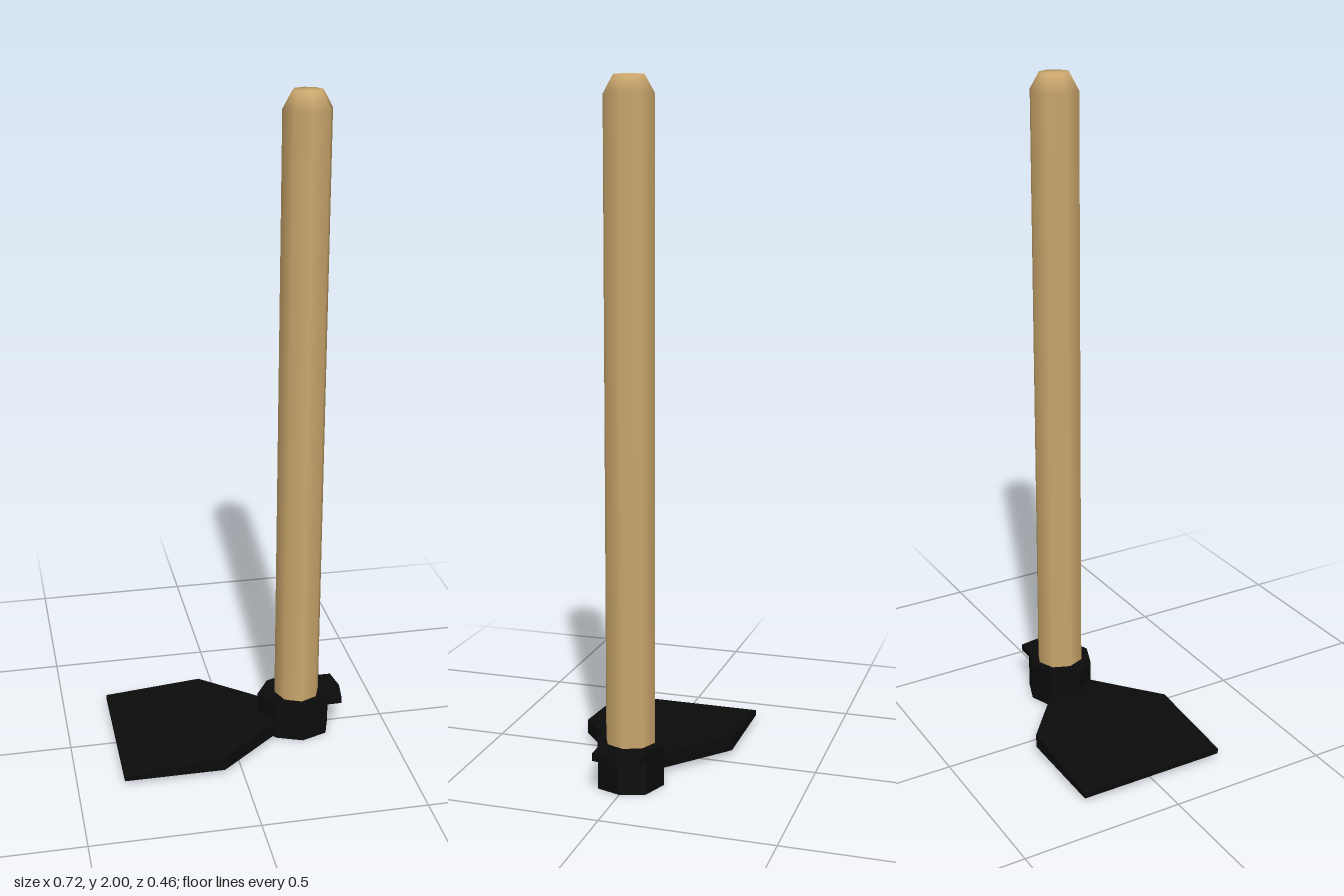
import * as THREE from 'three';

const wood = new THREE.MeshStandardMaterial({ color: 0xcaa66c });
const iron = new THREE.MeshStandardMaterial({ color: 0x0b0b0b, flatShading: true });

// Horizontal plate, mirrored in z from its half outline [x, z], from y0 to y1
function plate(half, y0, y1) {
  const mirrored = half.filter(p => p[1] > 0).reverse().map(([x, z]) => [x, -z]);
  const shape = new THREE.Shape([...half, ...mirrored].map(p => new THREE.Vector2(...p)));
  const geo = new THREE.ExtrudeGeometry(shape, { depth: y1 - y0, bevelEnabled: false });
  return geo.rotateX(-Math.PI / 2).translate(0, y0, 0);
}

export function createModel() {
  const group = new THREE.Group();
  const add = (name, geo, mat) => {
    const mesh = new THREE.Mesh(geo, mat);
    mesh.name = name;
    group.add(mesh);
    return mesh;
  };

  // Eight-sided shaft with a softened tapered end
  const profile = [[0.074, 0.02], [0.074, 1.95], [0.045, 2], [0, 2]];
  const handle = new THREE.LatheGeometry(profile.map(p => new THREE.Vector2(...p)), 8);
  add('handle', handle.scale(0.96, 1, 1).translate(0.22, 0, 0), wood);

  // Collar around the foot of the shaft
  add('collar', plate([[0.095, 0], [0.14, 0.07], [0.22, 0.101], [0.3, 0.072], [0.324, 0]], 0, 0.125), iron);

  // Small lip behind the collar
  add('lip', plate([[0.29, 0.072], [0.349, 0.072], [0.36, 0]], 0.103, 0.125), iron);

  // Blade from three sections: cutting edge, shoulder, neck
  const sections = [
    { x: -0.36, half: 0.232, top: 0.032 },
    { x: -0.055, half: 0.232, top: 0.058 },
    { x: 0.15, half: 0.062, top: 0.058 },
  ];
  const blade = new THREE.BoxGeometry(2, 2, 2, 2, 1, 1);
  const pos = blade.attributes.position;
  for (let i = 0; i < pos.count; i++) {
    const s = sections[Math.round(pos.getX(i)) + 1];
    pos.setXYZ(i, s.x, pos.getY(i) > 0 ? s.top : 0.015, Math.sign(pos.getZ(i)) * s.half);
  }
  blade.computeVertexNormals();
  add('blade', blade, iron);

  return group;
}
